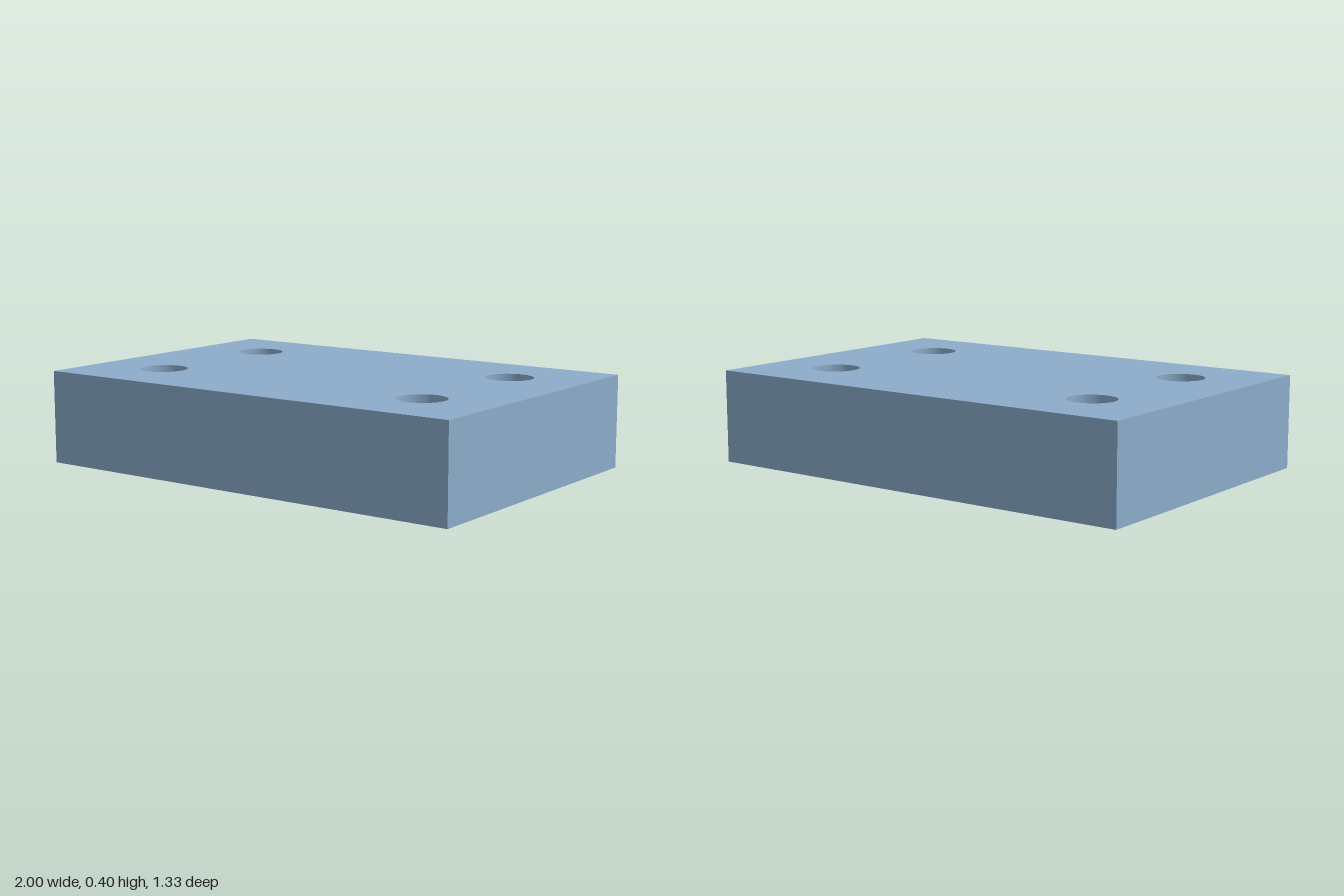
import * as THREE from 'three';
import { toCreasedNormals } from 'three/addons/utils/BufferGeometryUtils.js';

const HALF_X = 1, HALF_Z = 0.667, HEIGHT = 0.4;
const HOLE_X = 0.667, HOLE_Z = 0.333, HOLE_R = 0.102;

export function createModel() {
  const model = new THREE.Group();
  model.name = 'mountingBlock';

  // Rectangular outline
  const outline = new THREE.Shape([
    new THREE.Vector2(-HALF_X, -HALF_Z),
    new THREE.Vector2(HALF_X, -HALF_Z),
    new THREE.Vector2(HALF_X, HALF_Z),
    new THREE.Vector2(-HALF_X, HALF_Z),
  ]);

  // Four round through holes, one near each corner
  for (const sx of [-1, 1]) {
    for (const sz of [-1, 1]) {
      const hole = new THREE.Path();
      hole.absarc(sx * HOLE_X, sz * HOLE_Z, HOLE_R, 0, Math.PI * 2, true);
      outline.holes.push(hole);
    }
  }

  // Extrude upwards, with smooth hole walls and sharp edges
  const extruded = new THREE.ExtrudeGeometry(outline, {
    depth: HEIGHT, bevelEnabled: false, curveSegments: 32,
  });
  extruded.rotateX(-Math.PI / 2);

  const plate = new THREE.Mesh(
    toCreasedNormals(extruded, Math.PI / 6),
    new THREE.MeshStandardMaterial({ color: 0x8cadcb }),
  );
  plate.name = 'drilledPlate';
  model.add(plate);
  return model;
}
